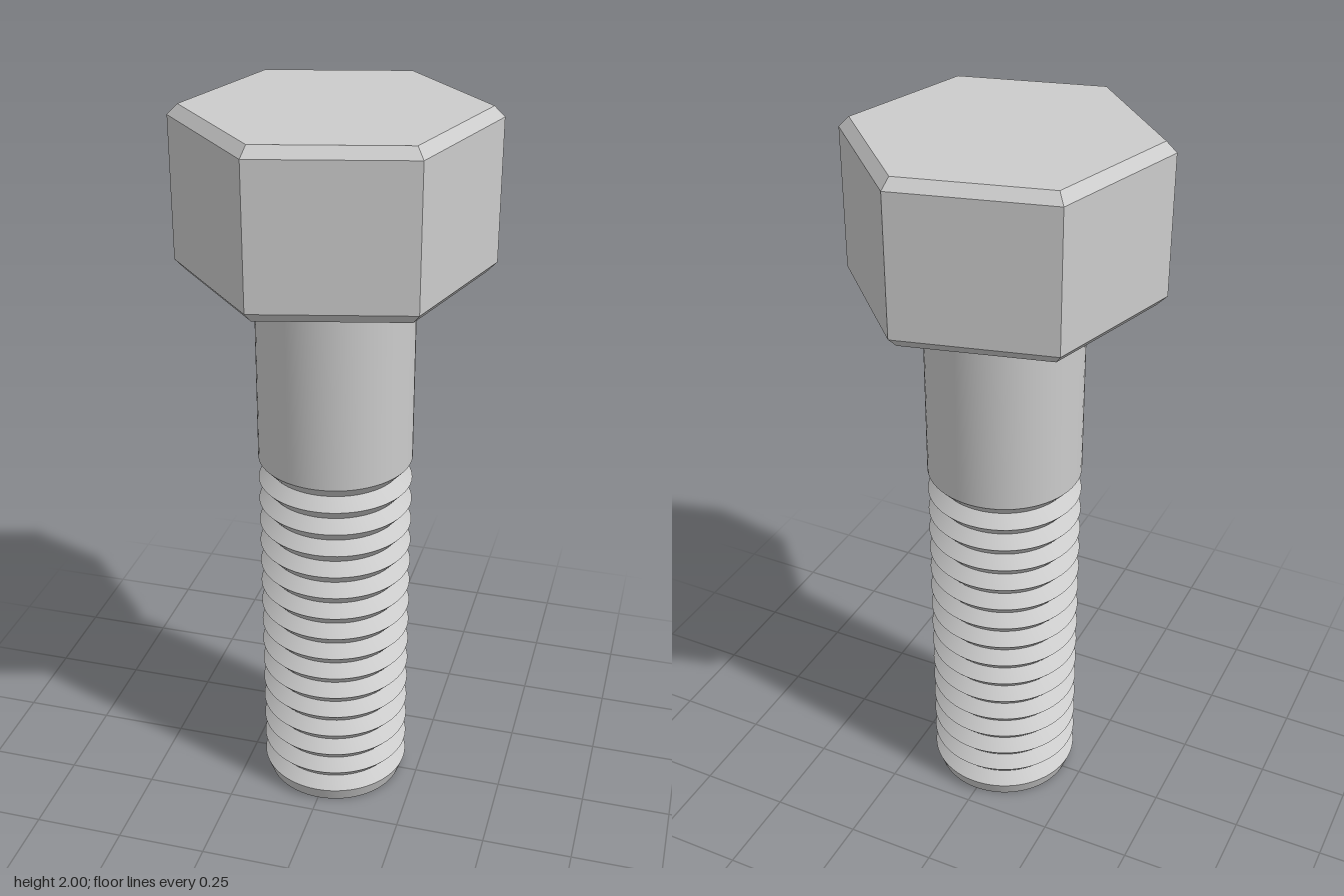
import * as THREE from 'three';
import { toCreasedNormals } from 'three/addons/utils/BufferGeometryUtils.js';

const V = (r, y) => new THREE.Vector2(r, y);

// Revolved profile, listed from bottom to top, with sharp edges kept sharp
function turned(name, profile, material, sides = 64) {
  const geometry = toCreasedNormals(new THREE.LatheGeometry(profile, sides), 0.5);
  const mesh = new THREE.Mesh(geometry, material);
  mesh.name = name;
  return mesh;
}

export function createModel() {
  const bolt = new THREE.Group();
  bolt.name = 'hexBolt';
  const steel = new THREE.MeshStandardMaterial({ color: 0xcccccc });

  const shankRadius = 0.21, rootRadius = 0.18;
  const threadBottom = 0.042, threadTop = 1.045, turns = 15;
  const headBottom = 1.573;

  // Thread: chamfered tip, then evenly spaced V-shaped grooves
  const pitch = (threadTop - threadBottom) / turns;
  const thread = [V(0, 0), V(0.195, 0), V(shankRadius, threadBottom)];
  for (let i = 0; i < turns; i++) {
    const y = threadBottom + i * pitch;
    thread.push(V(rootRadius, y + pitch / 2), V(shankRadius, y + pitch));
  }
  bolt.add(turned('thread', thread, steel));

  // Plain shank, flaring into a collar under the head
  bolt.add(turned('shank', [
    V(shankRadius, threadTop), V(shankRadius, 1.54), V(0.243, headBottom),
  ], steel));

  // Hexagonal head with chamfered top and bottom edges
  const headGeometry = new THREE.LatheGeometry([
    V(0, headBottom), V(0.384, headBottom), V(0.411, headBottom + 0.027),
    V(0.411, 1.973), V(0.384, 2), V(0, 2),
  ], 6, THREE.MathUtils.degToRad(43.8));
  const head = new THREE.Mesh(toCreasedNormals(headGeometry, 0.1), steel);
  head.name = 'head';
  bolt.add(head);

  return bolt;
}
